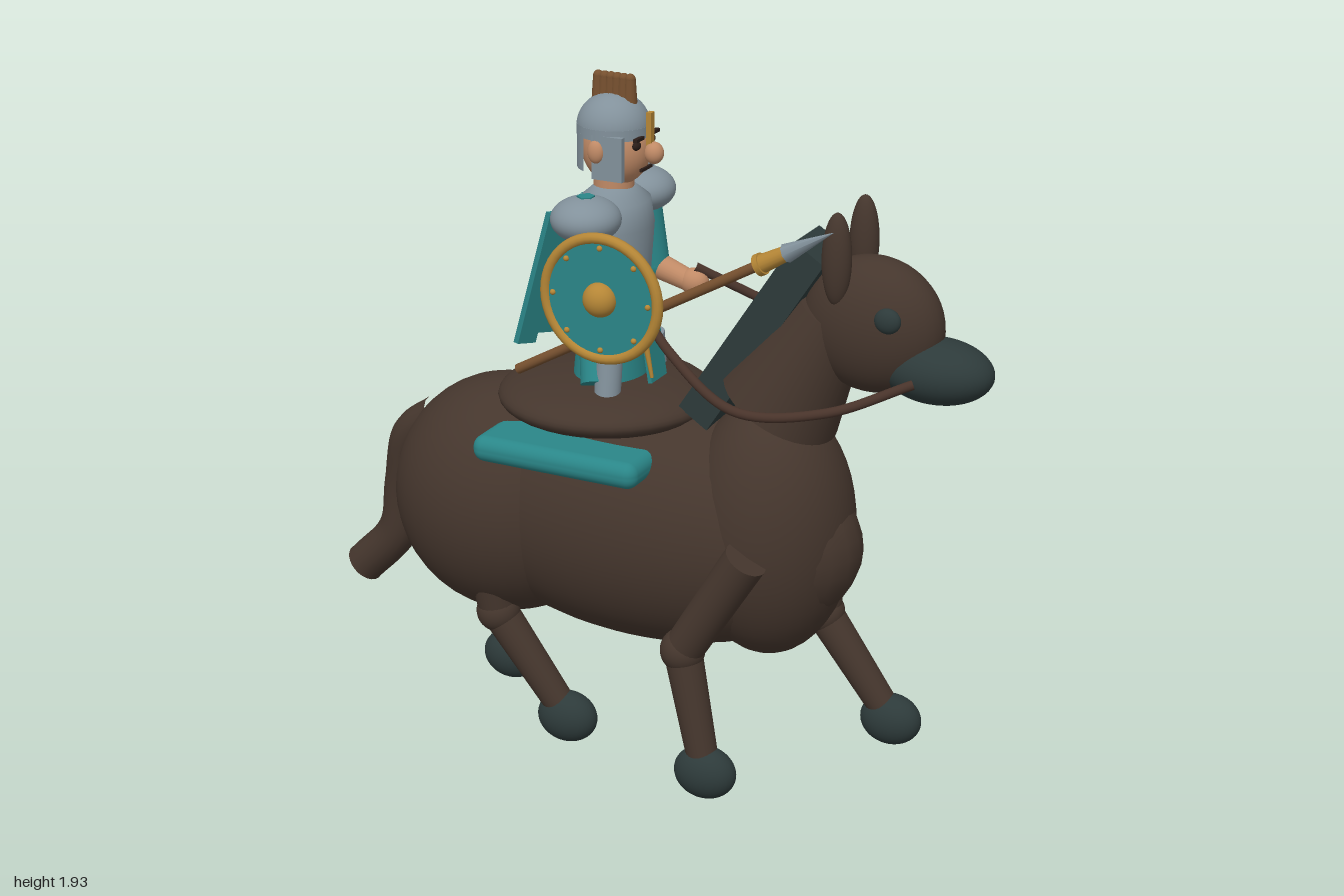
import * as THREE from 'three';
import { RoundedBoxGeometry } from 'three/addons/geometries/RoundedBoxGeometry.js';

const V = (x, y, z) => new THREE.Vector3(x, y, z);

export function createModel() {
  const model = new THREE.Group();
  const mat = (name, color, side = THREE.FrontSide) => {
    const m = new THREE.MeshStandardMaterial({ color, side });
    m.name = name;
    return m;
  };
  const coat = mat('horse brown', 0x45362d);
  const slate = mat('slate', 0x2d3a3a);
  const teal = mat('teal', 0x2a8688, THREE.DoubleSide);
  const silver = mat('silver', 0x82919b);
  const gold = mat('gold', 0xb58636);
  const skin = mat('skin', 0xc08a66);
  const wood = mat('wood', 0x76502f);
  const leather = mat('dark leather', 0x48332a);
  const dark = mat('dark features', 0x2a1d18);

  let parent = model;
  const group = (name) => {
    parent = new THREE.Group();
    parent.name = name;
    model.add(parent);
  };
  const add = (name, geo, m, x = 0, y = 0, z = 0, rz = 0) => {
    const mesh = new THREE.Mesh(geo, m);
    mesh.name = name;
    mesh.position.set(x, y, z);
    mesh.rotation.z = rz;
    parent.add(mesh);
    return mesh;
  };
  const ball = (name, m, x, y, z, rx, ry = rx, rz = rx, tilt = 0) =>
    add(name, new THREE.SphereGeometry(1, 36, 24), m, x, y, z, tilt).scale.set(rx, ry, rz);
  const box = (name, m, x, y, z, w, h, d, tilt = 0) =>
    add(name, new THREE.BoxGeometry(w, h, d), m, x, y, z, tilt);
  // Tapered round bar between two points
  const bar = (name, m, a, b, ra, rb, seg = 24) => {
    const dir = b.clone().sub(a);
    const mesh = add(name, new THREE.CylinderGeometry(rb, ra, dir.length(), seg), m);
    mesh.position.copy(a).lerp(b, 0.5);
    mesh.quaternion.setFromUnitVectors(V(0, 1, 0), dir.normalize());
    return mesh;
  };
  const tube = (name, m, pts, r) =>
    add(name, new THREE.TubeGeometry(new THREE.CatmullRomCurve3(pts), 40, r, 16), m);

  // Horse body, neck and head
  group('horse');
  ball('hindquarters', coat, -0.43, 0.68, 0, 0.34, 0.345, 0.3);
  ball('barrel', coat, 0, 0.69, 0, 0.64, 0.35, 0.285);
  ball('chest', coat, 0.375, 0.73, 0, 0.235, 0.37, 0.235);
  bar('neck', coat, V(0.4, 1.09, 0), V(0.55, 1.37, 0), 0.17, 0.1, 36);
  ball('head', coat, 0.66, 1.355, 0, 0.195, 0.185, 0.12);
  ball('muzzle', slate, 0.84, 1.255, 0, 0.155, 0.087, 0.105);
  box('mane', slate, 0.342, 1.288, 0, 0.1, 0.61, 0.16, -0.574);
  for (const s of [1, -1]) {
    ball('horseEye', slate, 0.745, 1.41, s * 0.115, 0.036, 0.034, 0.022);
    ball('horseEar', coat, 0.59, 1.545, s * 0.09, 0.04, 0.125, 0.034);
  }

  // Tail with a flat cut end
  const tailPts = [V(-0.66, 0.87, 0), V(-0.76, 0.79, -0.01), V(-0.805, 0.63, -0.03),
    V(-0.835, 0.47, -0.035), V(-0.955, 0.335, -0.035)];
  tube('tail', coat, tailPts, 0.06);
  bar('tailEnd', coat, V(-0.945, 0.345, -0.035), V(-0.956, 0.334, -0.035), 0.058, 0.06);

  // Legs: hip, knee, hoof
  const legs = [
    ['leftFrontLeg', V(0.42, 0.72, -0.24), V(0.43, 0.38, -0.25), V(0.635, 0.08, -0.275)],
    ['rightFrontLeg', V(0.415, 0.73, 0.24), V(0.225, 0.42, 0.23), V(0.305, 0.08, 0.25)],
    ['leftHindLeg', V(-0.56, 0.62, -0.18), V(-0.61, 0.41, -0.17), V(-0.53, 0.08, -0.16)],
    ['rightHindLeg', V(-0.42, 0.62, 0.19), V(-0.39, 0.38, 0.16), V(-0.19, 0.08, 0.125)],
  ];
  for (const [name, hip, knee, hoof] of legs) {
    group(name);
    bar('upperLeg', coat, hip, knee, 0.06, 0.055);
    ball('knee', coat, knee.x, knee.y, knee.z, 0.062);
    bar('lowerLeg', coat, knee, hoof, 0.053, 0.042);
    ball('hoof', slate, hoof.x, 0.077, hoof.z, 0.09, 0.075, 0.062);
  }

  // Saddle, blanket and reins
  group('tack');
  ball('saddle', coat, -0.125, 1.03, 0, 0.3, 0.075, 0.295);
  add('saddleBlanket', new RoundedBoxGeometry(0.5, 0.075, 0.62, 4, 0.034), teal, -0.135, 0.922, 0);
  for (const s of [1, -1]) {
    tube('rein', leather, [V(0.06, 1.37, s * 0.17), V(0.2, 1.28, s * 0.26), V(0.42, 1.18, s * 0.33),
      V(0.64, 1.19, s * 0.26), V(0.83, 1.26, s * 0.14)], 0.013);
  }

  // Rider torso and legs
  group('riderBody');
  const torso = [[0, 0], [0.085, 0], [0.095, 0.14], [0.105, 0.28], [0.095, 0.35], [0.05, 0.39], [0, 0.39]]
    .map(([r, y]) => new THREE.Vector2(r, y));
  add('breastplate', new THREE.LatheGeometry(torso, 32), silver, -0.1, 1.24, 0).scale.z = 1.2;
  add('belt', new THREE.CylinderGeometry(0.105, 0.105, 0.04, 32), leather, -0.11, 1.26, 0).scale.z = 1.15;
  add('tunicSkirt', new THREE.CylinderGeometry(0.085, 0.1, 0.16, 32), teal, -0.11, 1.165, 0).scale.z = 1.2;
  box('beltBuckle', gold, 0.0, 1.26, 0, 0.012, 0.035, 0.045);
  box('tunicFlap', teal, 0.02, 1.17, 0, 0.012, 0.15, 0.09, 0.15);
  bar('daggerBlade', gold, V(0.02, 1.24, 0.06), V(0.045, 1.12, 0.06), 0.01, 0.005, 8);
  for (const s of [1, -1]) {
    bar('thigh', teal, V(-0.11, 1.22, s * 0.06), V(-0.08, 1.1, s * 0.13), 0.06, 0.05);
    bar('greave', silver, V(-0.05, 1.18, s * 0.125), V(-0.05, 1.07, s * 0.14), 0.036, 0.036);
    // Arms
    ball('shoulderPlate', silver, -0.1, 1.575, s * 0.16, 0.095, 0.062, 0.095);
    add('shoulderStud', new THREE.CylinderGeometry(0.024, 0.024, 0.008, 6), teal, -0.1, 1.635, s * 0.16);
    bar('sleeve', teal, V(-0.1, 1.56, s * 0.165), V(-0.07, 1.36, s * 0.175), 0.05, 0.045);
    ball('elbow', teal, -0.07, 1.36, s * 0.175, 0.045);
    bar('forearm', skin, V(-0.07, 1.36, s * 0.175), V(0.04, 1.325, s * 0.175), 0.037, 0.03);
    ball('hand', skin, 0.055, 1.325, s * 0.175, 0.042, 0.038, 0.035);
  }

  // Pleated cape: a zigzag strip extruded downwards
  group('cape');
  const cape = new THREE.Shape();
  const zig = [0, 1, 2, 3, 4, 5, 6].map((i) => [(i % 2) * 0.028, -0.15 + i * 0.05]);
  zig.forEach(([x, z], i) => (i ? cape.lineTo(x, z) : cape.moveTo(x, z)));
  [...zig].reverse().forEach(([x, z]) => cape.lineTo(x + 0.014, z));
  const capeGeo = new THREE.ExtrudeGeometry(cape, { depth: 0.4, bevelEnabled: false });
  capeGeo.rotateX(Math.PI / 2);
  add('pleatedCape', capeGeo, teal, -0.225, 1.575, 0, -0.27);

  // Rider head
  group('riderHead');
  bar('neck', skin, V(-0.1, 1.6, 0), V(-0.1, 1.68, 0), 0.055, 0.055);
  ball('face', skin, -0.092, 1.735, 0, 0.096, 0.105, 0.085);
  ball('nose', skin, 0.02, 1.73, 0, 0.027, 0.03, 0.025);
  add('helmetDome', new THREE.SphereGeometry(0.1, 36, 18, 0, Math.PI * 2, 0, Math.PI / 2), silver,
    -0.1, 1.79, 0).scale.set(1, 0.92, 0.97);
  add('helmetBand', new THREE.CylinderGeometry(0.1, 0.1, 0.03, 36), silver, -0.1, 1.785, 0).scale.z = 0.97;
  add('helmetNape', new THREE.CylinderGeometry(0.098, 0.098, 0.1, 24, 1, false, Math.PI * 1.15, Math.PI * 0.7),
    silver, -0.1, 1.73, 0);
  box('noseGuard', gold, 0.009, 1.79, 0, 0.015, 0.1, 0.02);
  box('mouth', dark, -0.004, 1.685, 0, 0.008, 0.008, 0.06);
  for (const s of [1, -1]) {
    box('cheekGuard', silver, -0.072, 1.725, s * 0.088, 0.09, 0.12, 0.016);
    ball('ear', skin, -0.105, 1.74, s * 0.092, 0.024, 0.032, 0.018);
    ball('eye', dark, -0.01, 1.755, s * 0.042, 0.01, 0.012, 0.017);
    box('eyebrow', dark, -0.002, 1.775, s * 0.045, 0.012, 0.009, 0.042);
  }
  for (let i = 0; i < 6; i++) {
    const x = -0.145 + i * 0.019;
    bar('crestTuft', wood, V(x, 1.85, 0), V(x, 1.925, 0), 0.019, 0.014, 12);
    ball('crestTip', wood, x, 1.922, 0, 0.014);
  }

  // Spear
  group('spear');
  const spear = (t) => V(-0.31 + 0.92 * t, 1.12 + 0.52 * t, 0.165);
  bar('shaft', wood, spear(0), spear(0.83), 0.014, 0.014, 16);
  bar('collar', gold, spear(0.78), spear(0.87), 0.026, 0.02, 16);
  bar('collarRing', gold, spear(0.775), spear(0.79), 0.03, 0.03, 16);
  bar('spearhead', silver, spear(0.86), spear(1), 0.026, 0.001, 8);

  // Round shield
  group('shield');
  const disc = add('shieldFace', new THREE.CylinderGeometry(0.168, 0.168, 0.02, 48), teal, 0, 1.4, 0.262);
  disc.rotation.x = Math.PI / 2;
  add('shieldRim', new THREE.TorusGeometry(0.165, 0.015, 12, 48), gold, 0, 1.4, 0.265);
  ball('boss', gold, 0, 1.4, 0.272, 0.047, 0.047, 0.042);
  for (let i = 0; i < 8; i++) {
    const a = (i / 8) * Math.PI * 2;
    ball('rivet', gold, 0.14 * Math.cos(a), 1.4 + 0.14 * Math.sin(a), 0.272, 0.008);
  }
  return model;
}
